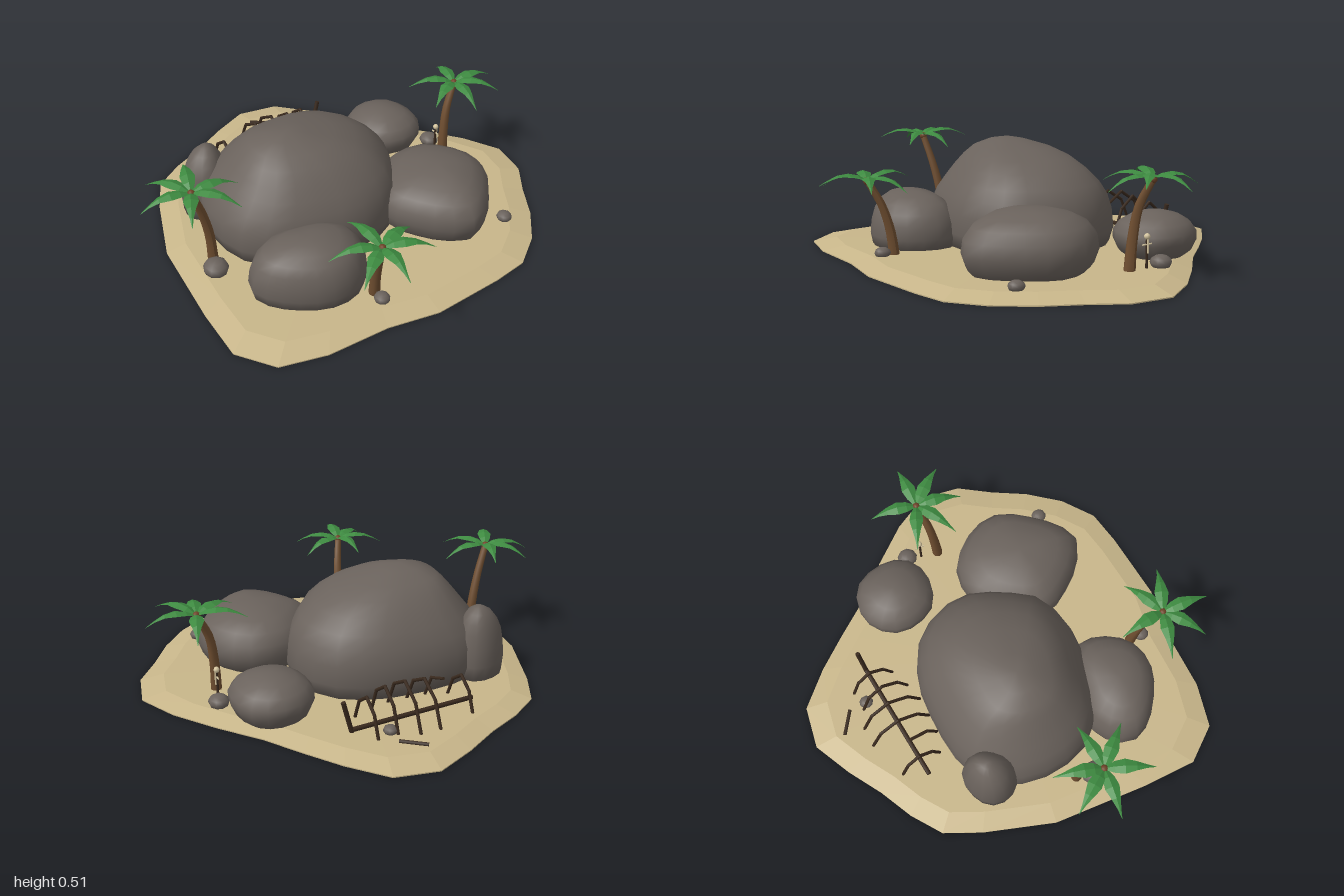
import * as THREE from 'three';

const mat = (name, color, opts = {}) => {
  const m = new THREE.MeshStandardMaterial({ color, ...opts });
  m.name = name;
  return m;
};
const V = (x, y, z) => new THREE.Vector3(x, y, z);

// Scaled copies of a plan outline ([x, z] pairs) stacked at heights [y, scale, dx, dz], closed at both ends
function loft(outline, rings, [cx, cz], topY, smoothCount) {
  let pts = outline;
  if (smoothCount) {
    const curve = new THREE.CatmullRomCurve3(outline.map(([x, z]) => V(x, 0, z)), true);
    pts = curve.getSpacedPoints(smoothCount).slice(0, -1).map(p => [p.x, p.z]);
  }
  const n = pts.length, pos = [], idx = [];
  for (const [y, s, dx = 0, dz = 0] of rings)
    for (const [x, z] of pts) pos.push(cx + (x - cx) * s + dx, y, cz + (z - cz) * s + dz);
  const last = rings[rings.length - 1], top = n * rings.length;
  pos.push(cx + (last[2] || 0), topY, cz + (last[3] || 0), cx, rings[0][0], cz);
  for (let j = 0; j < n; j++) {
    const j1 = (j + 1) % n;
    for (let k = 0; k < rings.length - 1; k++) {
      const a = k * n + j, b = k * n + j1;
      idx.push(a, a + n, b, b, a + n, b + n);
    }
    idx.push(top - n + j, top, top - n + j1, j, j1, top + 1);
  }
  const g = new THREE.BufferGeometry();
  g.setAttribute('position', new THREE.Float32BufferAttribute(pos, 3));
  g.setIndex(idx);
  g.computeVertexNormals();
  return g;
}

// Curved trunk that narrows towards the top
function trunkGeometry(curve, r0, r1) {
  const seg = 10, sides = 8;
  const g = new THREE.TubeGeometry(curve, seg, r0, sides), p = g.attributes.position;
  for (let i = 0; i <= seg; i++) {
    const c = curve.getPointAt(i / seg), s = 1 + (r1 / r0 - 1) * i / seg;
    for (let j = 0; j <= sides; j++) {
      const k = i * (sides + 1) + j, v = V().fromBufferAttribute(p, k).sub(c).multiplyScalar(s).add(c);
      p.setXYZ(k, v.x, v.y, v.z);
    }
  }
  g.computeVertexNormals();
  return g;
}

// Arched leaf along +x, folded on its midrib: [distance, height, half width]
function leafGeometry() {
  const rows = [[0, 0, .006], [.045, .022, .026], [.09, .03, .033], [.14, .022, .02], [.185, 0, .008], [.225, -.025, .001]];
  const pos = [], idx = [];
  rows.forEach(([x, y, w], i) => {
    pos.push(x, y - w * .35, -w, x, y, 0, x, y - w * .35, w);
    if (i) for (const c of [0, 1]) {
      const a = (i - 1) * 3 + c;
      idx.push(a, a + 1, a + 3, a + 1, a + 4, a + 3);
    }
  });
  const g = new THREE.BufferGeometry();
  g.setAttribute('position', new THREE.Float32BufferAttribute(pos, 3));
  g.setIndex(idx);
  const flat = g.toNonIndexed();
  flat.computeVertexNormals();
  return flat;
}

export function createModel() {
  const root = new THREE.Group();
  root.name = 'island';
  const sand = mat('sand', 0xc8b68a), stone = mat('stone', 0x6a625c), bark = mat('bark', 0x6f4e30);
  const leafGreen = mat('leafGreen', 0x3d8a40, { side: THREE.DoubleSide });
  const darkWood = mat('darkWood', 0x3a2a1e), bone = mat('bone', 0xd6c6a0), nut = mat('nut', 0x6e4428);

  const add = (name, geo, m, parent = root) => {
    const mesh = new THREE.Mesh(geo, m);
    mesh.name = name;
    parent.add(mesh);
    return mesh;
  };
  const group = name => {
    const g = new THREE.Group();
    g.name = name;
    root.add(g);
    return g;
  };
  const bar = (name, a, b, r, m, parent) => {
    const d = b.clone().sub(a);
    const mesh = add(name, new THREE.CylinderGeometry(r, r, d.length() + r, 6), m, parent);
    mesh.position.copy(a).add(b).multiplyScalar(.5);
    mesh.quaternion.setFromUnitVectors(V(0, 1, 0), d.normalize());
  };

  // Sand base with a bevelled shore
  const shore = [[0, -.98], [.2, -.95], [.35, -.8], [.47, -.65], [.59, -.49], [.75, -.32], [.9, -.14], [1, .04],
    [.97, .23], [.87, .38], [.78, .54], [.66, .69], [.51, .8], [.34, .83], [0, .86], [-.24, .82], [-.53, .82],
    [-.74, .77], [-.86, .61], [-.86, .35], [-.83, -.11], [-.72, -.44], [-.64, -.61], [-.5, -.71], [-.34, -.79], [-.18, -.89]];
  const ground = loft(shore, [[0, 1], [.005, 1], [.03, .89]], [0, 0], .032).toNonIndexed();
  ground.computeVertexNormals();
  add('sandBase', ground, sand);

  // Boulders
  add('mainBoulder', loft(
    [[-.13, -.43], [.06, -.41], [.23, -.32], [.32, -.16], [.325, 0], [.27, .12], [.15, .3], [.03, .35], [-.13, .365],
      [-.29, .33], [-.45, .28], [-.56, .2], [-.62, .06], [-.63, -.1], [-.59, -.24], [-.48, -.37], [-.37, -.41]],
    [[.02, .95], [.1, 1], [.19, .98], [.26, .92, .01], [.32, .83, .015], [.38, .71, .005], [.43, .58, -.015], [.47, .42, -.05], [.5, .2, -.08]],
    [-.15, -.03], .515, 24), stone);
  add('frontRightBoulder', loft(
    [[-.655, .4], [-.62, .3], [-.5, .23], [-.35, .24], [-.2, .28], [-.115, .37], [-.13, .48], [-.19, .575],
      [-.27, .625], [-.39, .63], [-.51, .575], [-.61, .49]],
    [[.02, .94], [.08, 1], [.14, .97], [.19, .89], [.23, .76], [.26, .54], [.275, .26]],
    [-.39, .43], .28, 20), stone);
  add('frontLeftBoulder', loft(
    [[.31, 0], [.49, 0], [.59, .08], [.66, .2], [.665, .32], [.56, .48], [.455, .58], [.37, .615], [.24, .54],
      [.13, .4], [.085, .3], [.15, .15]],
    [[.02, .8], [.06, .93], [.12, 1], [.18, .97], [.23, .84], [.265, .63], [.288, .35]],
    [.385, .3], .298, 20), stone);
  add('backLeftBoulder', loft(
    [[.5, -.52], [.62, -.48], [.68, -.36], [.67, -.23], [.6, -.16], [.5, -.14], [.38, -.18], [.32, -.3], [.33, -.41], [.4, -.49]],
    [[.015, .62], [.05, .87], [.1, .99], [.14, .99], [.18, .84], [.21, .58], [.225, .28]],
    [.5, -.33], .232, 16), stone);
  add('backRightBoulder', loft(
    [[-.5, -.425], [-.42, -.4], [-.4, -.32], [-.44, -.23], [-.52, -.175], [-.6, -.2], [-.645, -.27], [-.63, -.36], [-.58, -.4]],
    [[.02, .95], [.1, 1], [.18, .95], [.25, .84], [.3, .69, .005, -.005], [.34, .47, .01, -.01], [.362, .22, .015, -.015]],
    [-.525, -.3], .37, 14), stone);

  // Loose stones: x, z, radius
  for (const [x, z, r] of [[-.705, .15, .058], [.62, .53, .036], [.09, -.675, .032], [.7, -.18, .048], [-.185, .69, .036]]) {
    const s = add('smallStone', new THREE.SphereGeometry(r, 9, 6), stone);
    s.scale.set(1, .7, 1.05);
    s.position.set(x, .03 + r * .42, z);
  }

  // Palms: trunk path and leaf directions in degrees seen from above
  const leaf = leafGeometry();
  const palms = [
    [[V(-.68, .02, .07), V(-.69, .18, .075), V(-.725, .33, .095), V(-.775, .47, .12)], [-173, -124, -74, -3, 48, 114]],
    [[V(-.185, .02, .63), V(-.19, .14, .645), V(-.2, .26, .68), V(-.225, .37, .735)], [-23, 23, 95, 142, 197, 263]],
    [[V(.67, .02, -.025), V(.675, .17, -.035), V(.695, .31, -.05), V(.75, .43, -.075)], [-77, 0, 50, 97, 149, 203]],
  ];
  for (const [path, angles] of palms) {
    const palm = group('palm');
    add('trunk', trunkGeometry(new THREE.CatmullRomCurve3(path), .026, .016), bark, palm);
    const top = path[3];
    add('crown', new THREE.SphereGeometry(.019, 8, 6), nut, palm).position.copy(top);
    angles.forEach((deg, i) => {
      const l = add('leaf', leaf, leafGreen, palm);
      l.position.copy(top).y += .005;
      l.rotation.set(0, -deg * Math.PI / 180, (i % 3 - 1) * .07);
    });
  }

  // Wrecked hull: keel, leaning stem post, arched ribs and a loose plank
  const wreck = group('wreck');
  bar('keel', V(-.36, .04, -.55), V(.24, .04, -.61), .011, darkWood, wreck);
  bar('stemPost', V(.24, .03, -.61), V(.28, .18, -.618), .011, darkWood, wreck);
  const ribs = [[-.3, -.66, -.46, .17], [-.2, -.56, -.43, .17, true], [-.11, -.73, -.43, .2],
    [-.015, -.735, -.435, .21], [.075, -.7, -.46, .2], [.17, -.71, -.5, .18]];
  for (const [x, z0, z1, h, broken] of ribs) {
    const w = z1 - z0, at = (t, y) => V(x - .01 + .02 * t, y, z0 + w * t);
    const pts = broken ? [at(0, h), at(.65, h * .8), at(1, .03)]
      : [at(0, .03), at(.18, h * .72), at(.5, h), at(.82, h * .72), at(1, .03)];
    for (let i = 1; i < pts.length; i++) bar('rib', pts[i - 1], pts[i], .0075, darkWood, wreck);
  }
  bar('loosePlank', V(-.01, .038, -.83), V(.085, .038, -.765), .009, darkWood, wreck);

  // Bone marker on a stake
  const marker = group('marker');
  bar('stake', V(.685, .03, -.11), V(.685, .16, -.11), .006, darkWood, marker);
  bar('crossBone', V(.685, .135, -.133), V(.685, .135, -.087), .004, bone, marker);
  bar('spineBone', V(.691, .1, -.11), V(.691, .155, -.11), .005, bone, marker);
  add('skull', new THREE.SphereGeometry(.014, 8, 6), bone, marker).position.set(.685, .17, -.11);

  return root;
}
